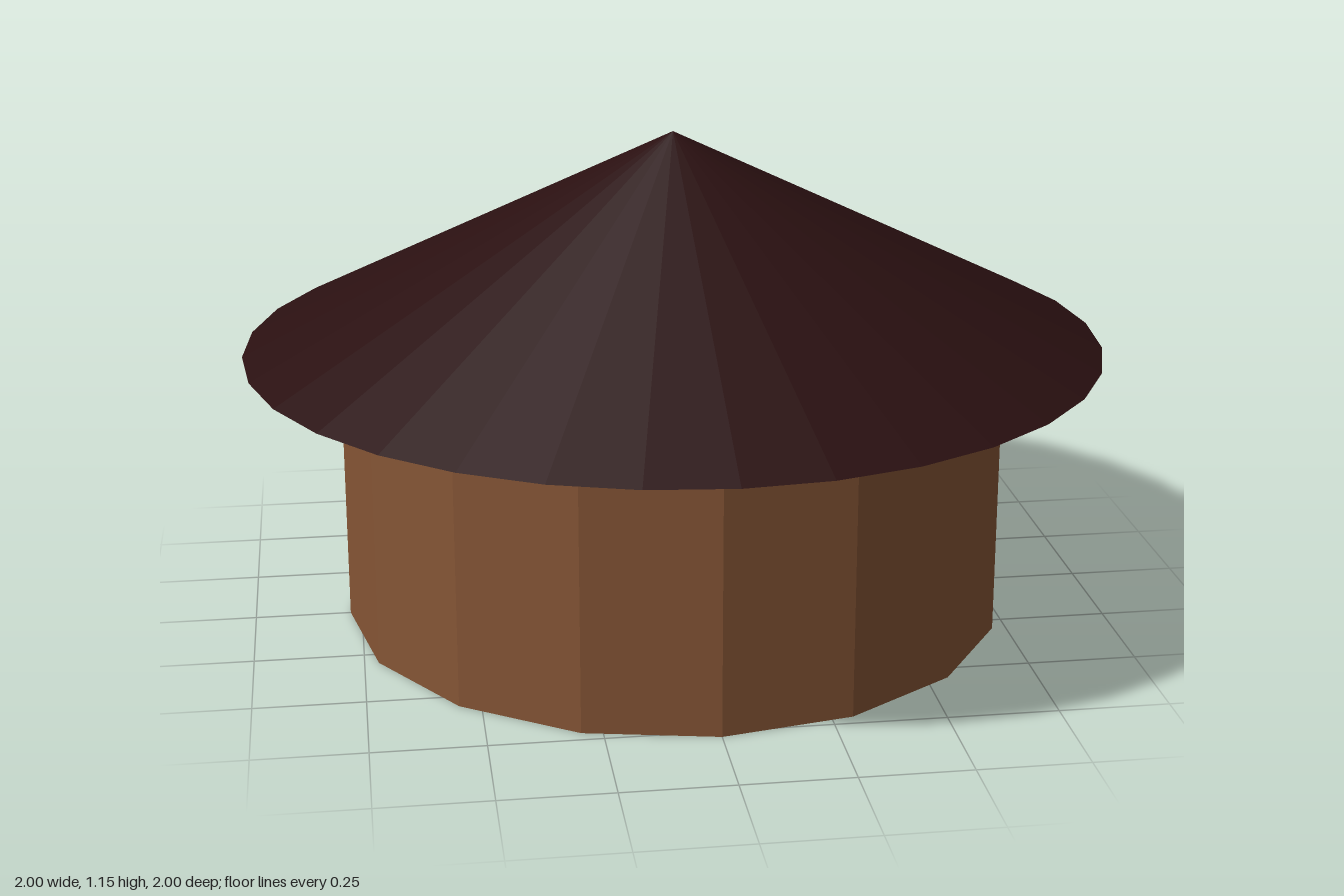
import * as THREE from 'three';

const RADIUS = 0.777, SIDES = 16, EAVES = 0.65;
const DOOR_HALF = 0.145, DOOR_TOP = 0.365;

// Open wall skin: flat panels round a polygon, raised above the doorway on +x
function wallGeometry() {
  const corner = (i) => {
    const a = (i / SIDES) * Math.PI * 2;
    return [RADIUS * Math.cos(a), RADIUS * Math.sin(a)];
  };
  const first = corner(1);
  const t = DOOR_HALF / first[1];
  const jambX = RADIUS + (first[0] - RADIUS) * t;

  const outline = [[jambX, -DOOR_HALF], [RADIUS, 0], [jambX, DOOR_HALF]];
  for (let i = 1; i < SIDES; i++) outline.push(corner(i));

  const pos = [];
  outline.forEach((p, i) => {
    const q = outline[(i + 1) % outline.length];
    const low = i < 2 ? DOOR_TOP : 0; // the first two panels are the lintel
    const a = [p[0], low, p[1]], b = [q[0], low, q[1]];
    const c = [q[0], EAVES, q[1]], d = [p[0], EAVES, p[1]];
    pos.push(...a, ...d, ...c, ...a, ...c, ...b);
  });
  const geo = new THREE.BufferGeometry();
  geo.setAttribute('position', new THREE.Float32BufferAttribute(pos, 3));
  geo.computeVertexNormals();
  return geo;
}

export function createModel() {
  const hut = new THREE.Group();
  hut.name = 'roundHut';

  const clay = new THREE.MeshStandardMaterial({
    name: 'clayBrown', color: 0x855535, flatShading: true, side: THREE.DoubleSide,
  });
  const thatch = new THREE.MeshStandardMaterial({
    name: 'darkThatch', color: 0x2a1011, flatShading: true,
  });

  const add = (name, geometry, material) => {
    const mesh = new THREE.Mesh(geometry, material);
    mesh.name = name;
    hut.add(mesh);
    return mesh;
  };

  // Walls with the doorway cut out
  add('wall', wallGeometry(), clay);

  // Floor disc
  add('floor', new THREE.CircleGeometry(RADIUS, SIDES).rotateX(-Math.PI / 2), clay);

  // Conical roof with closed underside
  add('roof', new THREE.ConeGeometry(1, 0.5, 32), thatch).position.y = EAVES + 0.25;

  return hut;
}
